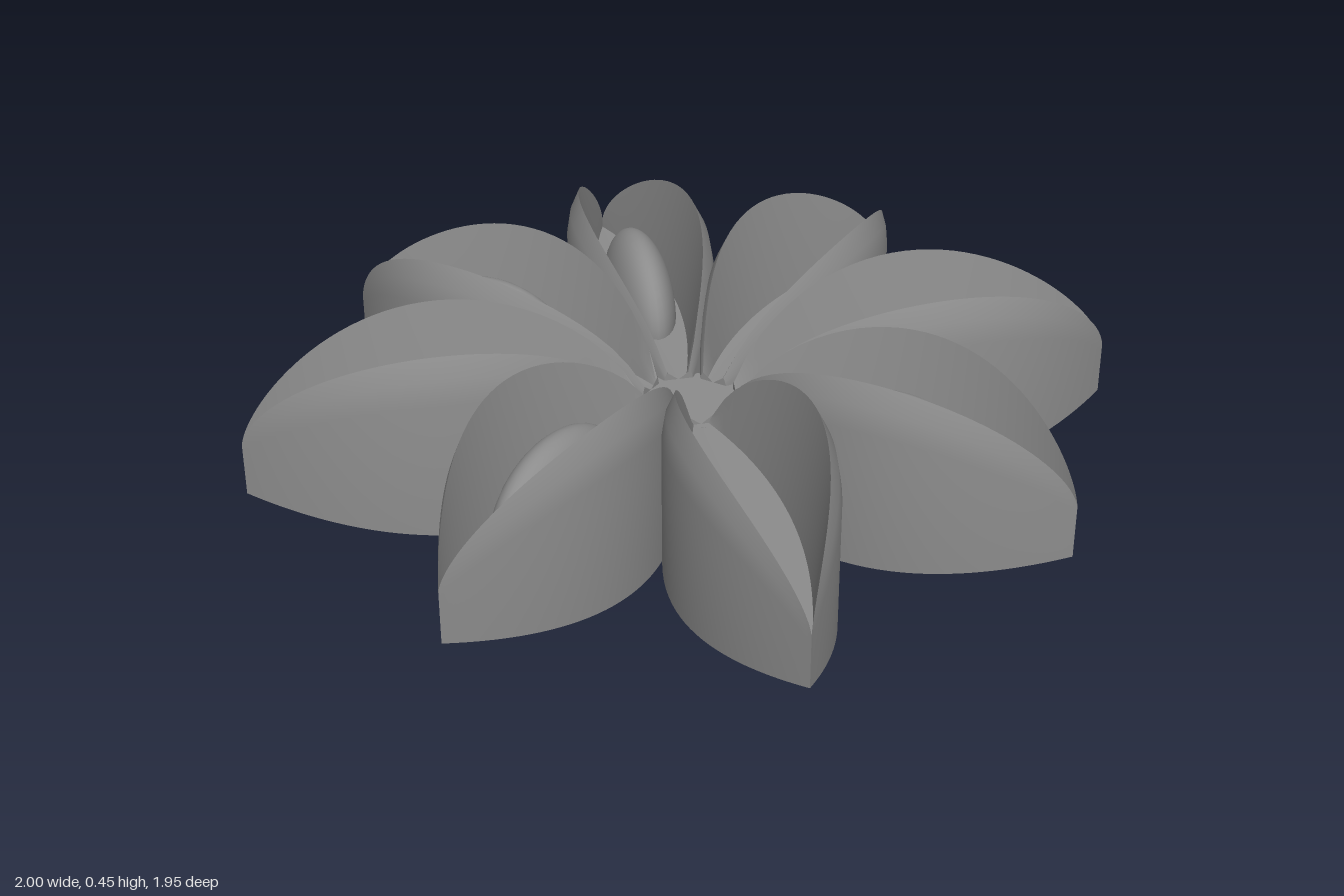
import * as THREE from 'three';
import { toCreasedNormals } from 'three/addons/utils/BufferGeometryUtils.js';

const husk = new THREE.MeshStandardMaterial({ color: 0x8c8c8c });
husk.name = 'grey husk';

const FLOOR = 0.2, START = 0.11;
const hump = (r, mid, half) => Math.max(0, 1 - ((r - mid) / half) ** 2);

// Closed cross-section of a boat-shaped pod at distance r from the centre
function section(r) {
  const w = 0.168 * hump(r, 0.53, 0.47);
  const rise = hump(r, 0.56, 0.44);
  const top = 0.22 + 0.235 * rise ** 0.65;
  const shoulder = 0.2 + 0.155 * rise ** 0.75;
  const keel = r > 0.45 ? 0.1 * ((r - 0.45) / 0.55) ** 2 : 0.2 * (0.45 - r) ** 2;
  const edge = keel + 0.15 * w;
  const half = [
    [0.5 * w, keel + 0.25 * (edge - keel)],
    [w, edge],
    [w, shoulder],
    [0.94 * w, shoulder + 0.55 * (top - shoulder)],
    [0.8 * w, top],
    [0.64 * w, FLOOR + 0.5 * (top - FLOOR)],
    [0.5 * w, FLOOR + 0.04 * w],
  ];
  const mirrored = half.map(([x, y]) => [-x, y]).reverse();
  return [[0, keel], ...half, [0, FLOOR], ...mirrored];
}

// Pod running along +z, lofted through its cross-sections
function podGeometry() {
  const steps = 40, pos = [], index = [];
  let n = 0;
  for (let i = 0; i <= steps; i++) {
    // stations crowd towards the tip
    const r = START + (1 - START) * Math.sin((i / steps) * Math.PI / 2);
    const ring = section(r);
    n = ring.length;
    ring.forEach(([x, y]) => pos.push(x, y, r));
  }
  for (let i = 0; i < steps; i++) {
    for (let j = 0; j < n; j++) {
      const a = i * n + j, b = i * n + (j + 1) % n;
      index.push(a, b, b + n, a, b + n, a + n);
    }
  }
  // inner end cap, fanned from the floor point
  const c = n / 2;
  for (let j = 0; j < n; j++) index.push(c, (j + 1) % n, j);
  const g = new THREE.BufferGeometry();
  g.setAttribute('position', new THREE.Float32BufferAttribute(pos, 3));
  g.setIndex(index);
  return toCreasedNormals(g, 0.5);
}

export function createModel() {
  const model = new THREE.Group();
  model.name = 'starPod';

  // Central hub joining the pods
  const hub = new THREE.Mesh(
    toCreasedNormals(new THREE.CylinderGeometry(0.135, 0.135, 0.14, 8), 0.3), husk);
  hub.name = 'hub';
  hub.position.y = FLOOR - 0.069;
  hub.rotation.y = Math.PI / 8;
  model.add(hub);

  const podShape = podGeometry();
  const seedShape = new THREE.SphereGeometry(1, 32, 20);
  const seeded = [1, 2, 4, 5, 7];

  for (let k = 0; k < 8; k++) {
    const arm = new THREE.Group();
    arm.name = 'arm' + (k + 1);
    arm.rotation.y = k * Math.PI / 4;

    const pod = new THREE.Mesh(podShape, husk);
    pod.name = 'pod';
    pod.scale.z = k % 2 ? 0.94 : k % 4 ? 1 : 0.977;
    arm.add(pod);

    // Seed half sunk in the pod floor
    if (seeded.includes(k)) {
      const seed = new THREE.Mesh(seedShape, husk);
      seed.name = 'seed';
      seed.scale.set(0.078, 0.17, 0.22);
      seed.position.set(0, FLOOR, 0.53);
      arm.add(seed);
    }
    model.add(arm);
  }
  return model;
}
